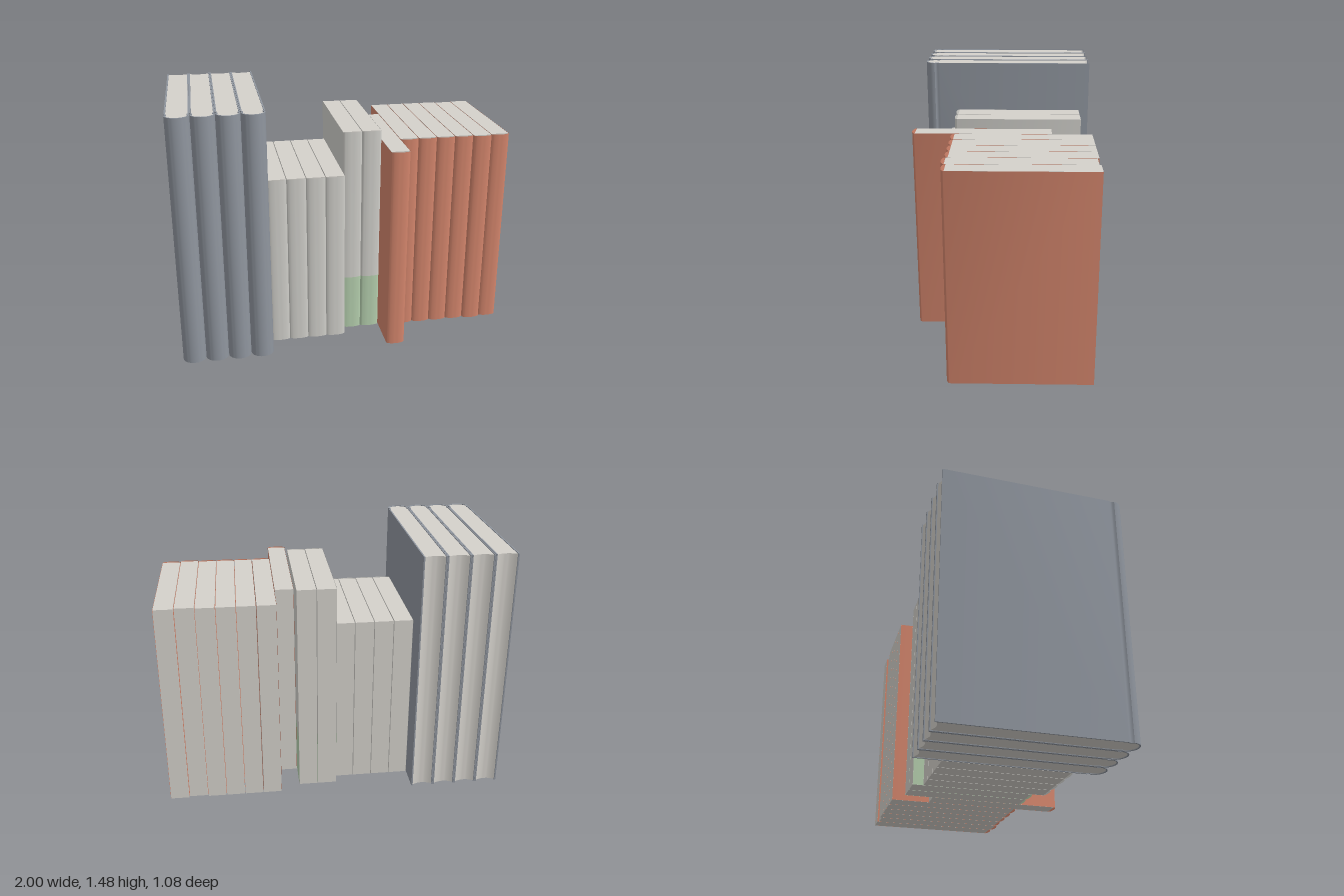
import * as THREE from 'three';
import { toCreasedNormals } from 'three/addons/utils/BufferGeometryUtils.js';

const paint = (name, color, side = THREE.FrontSide) => {
  const m = new THREE.MeshStandardMaterial({ color, side });
  m.name = name;
  return m;
};

// Half-ellipse points across a rounded spine, from left to right
function spineArc(half, zStart, depth, n = 20) {
  const pts = [];
  for (let i = 0; i <= n; i++) {
    const a = Math.PI * (1 - i / n);
    pts.push([half * Math.cos(a), zStart + depth * Math.sin(a)]);
  }
  return pts;
}

// Solid prism standing up from an outline of [x, z] points
function prism(outline, y0, y1) {
  const shape = new THREE.Shape(outline.map(([x, z]) => new THREE.Vector2(x, -z)));
  const geo = new THREE.ExtrudeGeometry(shape, { depth: y1 - y0, bevelEnabled: false });
  geo.rotateX(-Math.PI / 2).translate(0, y0, 0);
  return toCreasedNormals(geo, 0.6);
}

// Thin upright sheet following a path of [x, z] points
function sheet(path, y0, y1) {
  const geo = new THREE.PlaneGeometry(1, 1, path.length - 1, 1);
  const pos = geo.attributes.position;
  for (let i = 0; i < pos.count; i++) {
    const [x, z] = path[i % path.length];
    pos.setXYZ(i, x, i < path.length ? y1 : y0, z);
  }
  return toCreasedNormals(geo, 0.6);
}

export function createModel() {
  const pages = paint('pages', 0xd4d1cb);
  const slate = paint('slate cloth', 0x90969f);
  const grey = paint('pale grey cover', 0xd0cfca, THREE.DoubleSide);
  const green = paint('pale green cover', 0xb5cfae, THREE.DoubleSide);
  const orange = paint('terracotta cover', 0xd3856c, THREE.DoubleSide);

  const model = new THREE.Group();
  model.name = 'bookRow';
  const add = (parent, name, geo, mat) => {
    const mesh = new THREE.Mesh(geo, mat);
    mesh.name = name;
    parent.add(mesh);
  };
  const newBook = (name, x) => {
    const book = new THREE.Group();
    book.name = name;
    book.position.x = x;
    model.add(book);
    return book;
  };

  // Hardcover with boards, hinge grooves, round spine and hollowed fore edge
  function hardcover(x, width, height) {
    const book = newBook('hardcover', x);
    const half = width / 2 - 0.0005, t = 0.008, back = -0.54;
    const profile = (inset) => {
      const h = half - inset, side = [[h, back], [h, 0.445], [h - 0.006, 0.458], [h - 0.006, 0.468]];
      const left = side.map(([px, z]) => [-px, z]);
      return [...left, ...spineArc(h, 0.478, 0.058 - inset), ...side.reverse()];
    };
    add(book, 'cover', prism([...profile(0), ...profile(t).reverse()], 0, height), slate);

    // Page block, slightly inside the cover
    const inner = profile(t + 0.0005).slice(1, -1);
    const h = half - t - 0.0005, foreEdge = [];
    for (let i = 0; i <= 12; i++) {
      const u = 1 - i / 6;
      foreEdge.push([h * u, -0.534 + 0.016 * (1 - u * u)]);
    }
    add(book, 'pageBlock', prism([...inner, ...foreEdge], 0.004, height - 0.004), pages);
  }

  // Paperback: thin wrapped cover around a plain page block; bands are [y0, y1, material]
  function paperback(x, width, height, back, front, bulge, bands) {
    const book = newBook('paperback', x);
    const half = width / 2 - 0.0008;
    const path = [[-half, back], ...spineArc(half, front, bulge), [half, back]];
    for (const [y0, y1, mat] of bands) add(book, 'cover', sheet(path, y0, y1), mat);
    const block = new THREE.BoxGeometry(2 * half - 0.003, height, front - back);
    block.translate(0, height / 2, (front + back) / 2);
    add(book, 'pageBlock', block, pages);
  }

  // Four tall slate volumes
  for (let i = 0; i < 4; i++) hardcover(-1 + 0.1337 * (i + 0.5), 0.1337, 1.478);

  // Four short grey volumes
  for (let i = 0; i < 4; i++) {
    paperback(-0.465 + 0.1137 * (i + 0.5), 0.1137, 1.042, -0.38, 0.358, 0.016, [[0, 1.042, grey]]);
  }

  // Two taller grey volumes with a green foot band
  for (let i = 0; i < 2; i++) {
    paperback(-0.01 + 0.1145 * (i + 0.5), 0.1145, 1.28, -0.443, 0.28, 0.016,
      [[0, 0.35, green], [0.35, 1.28, grey]]);
  }

  // Seven terracotta volumes, the first pulled forward and one slightly out of line
  const shifts = [0.23, 0, 0, 0, 0, 0.01, 0];
  shifts.forEach((s, i) => {
    paperback(0.219 + 0.1115 * (i + 0.5), 0.1115, 1.223, -0.502 + s, 0.285 + s, 0.02,
      [[0, 1.223, orange]]);
  });

  return model;
}
